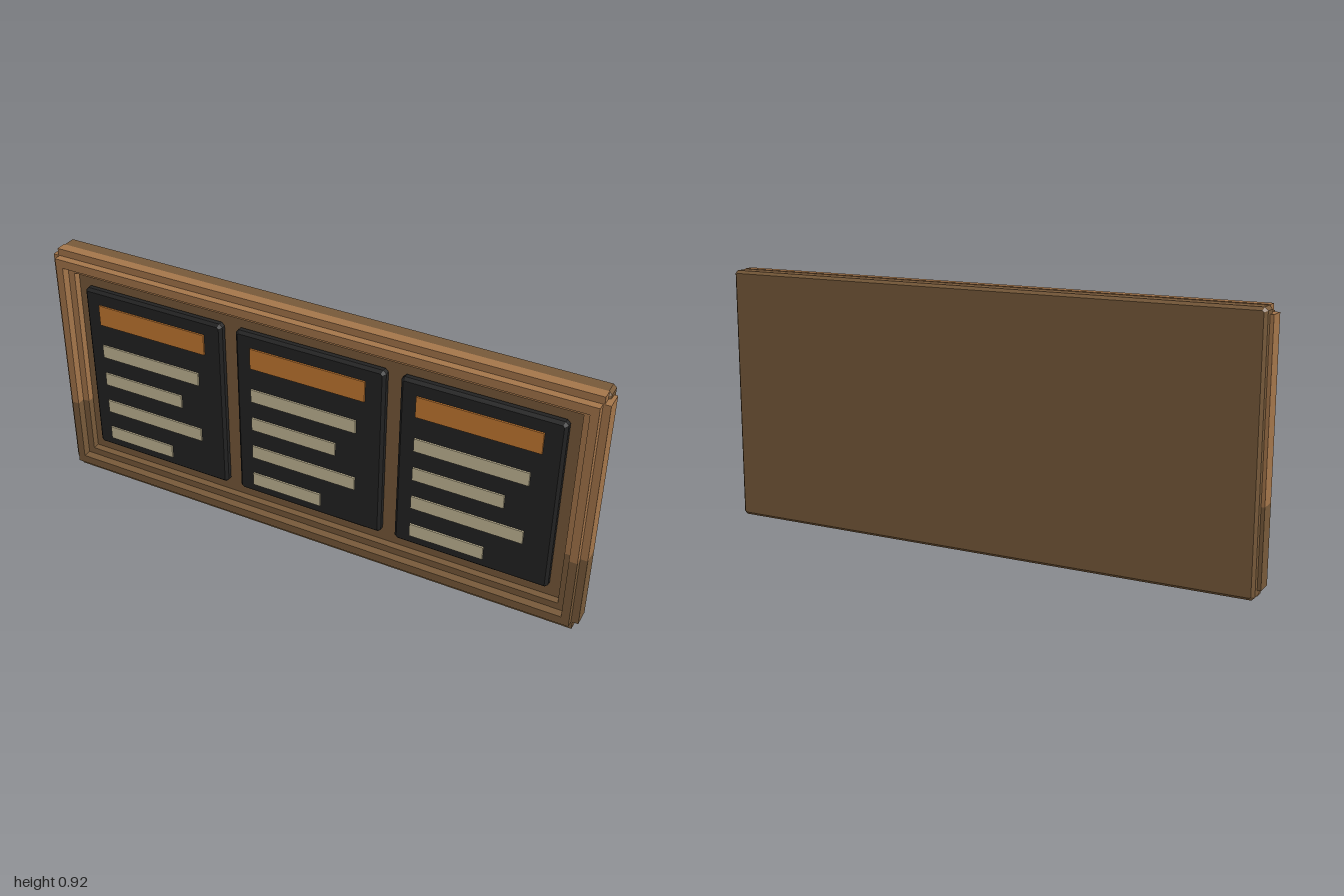
import * as THREE from 'three';

const mat = (name, color) => {
  const m = new THREE.MeshStandardMaterial({ color });
  m.name = name;
  return m;
};

export function createModel() {
  const model = new THREE.Group();
  model.name = 'menuBoard';
  const lightWood = mat('lightWood', 0xa5764b);
  const darkWood = mat('darkWood', 0x785a3a);
  const slate = mat('slate', 0x222222);
  const orange = mat('orange', 0xc67a32);
  const cream = mat('cream', 0xc6ba98);

  // Box given by its limits on each axis
  const box = (name, material, x0, x1, y0, y1, z0, z1, parent = model) => {
    const mesh = new THREE.Mesh(new THREE.BoxGeometry(x1 - x0, y1 - y0, z1 - z0), material);
    mesh.name = name;
    mesh.position.set((x0 + x1) / 2, (y0 + y1) / 2, (z0 + z1) / 2);
    parent.add(mesh);
  };

  // Slab with chamfered front and back edges and clipped corners
  const slab = (name, material, x0, x1, y0, y1, z0, z1, b, parent = model) => {
    const w = (x1 - x0) / 2 - b, h = (y1 - y0) / 2 - b;
    const c = b * 0.5;
    const shape = new THREE.Shape([
      [-w + c, -h], [w - c, -h], [w, -h + c], [w, h - c],
      [w - c, h], [-w + c, h], [-w, h - c], [-w, -h + c],
    ].map(([x, y]) => new THREE.Vector2(x, y)));
    const geo = new THREE.ExtrudeGeometry(shape, {
      depth: z1 - z0 - 2 * b, bevelEnabled: true, bevelSize: b, bevelThickness: b, bevelSegments: 1,
    });
    const mesh = new THREE.Mesh(geo, material);
    mesh.name = name;
    mesh.position.set((x0 + x1) / 2, (y0 + y1) / 2, z0 + b);
    parent.add(mesh);
  };

  // Backing board
  slab('backingBoard', darkWood, -0.988, 0.988, 0.002, 0.919, -0.06, 0.004, 0.01);

  // Frame steps: [name, outer x, inner x, side bottom, side top, rail edges, rail half length, z range]
  const split = 0.3;
  const steps = [
    { name: 'outerTrim', xo: 1, xi: 0.97, y0: 0.03, y1: 0.895, inset: 0, thick: 0.03, len: 0.98, zs: -0.03, zr: -0.003, z1: 0.033 },
    { name: 'raisedTrim', xo: 0.975, xi: 0.947, y0: 0.03, y1: 0.895, inset: 0.03, thick: 0.031, len: 0.947, zs: 0, zr: 0, z1: 0.06 },
    { name: 'innerTrim', xo: 0.947, xi: 0.922, y0: 0.061, y1: 0.864, inset: 0.061, thick: 0.026, len: 0.922, zs: 0, zr: 0, z1: 0.03 },
  ];
  for (const s of steps) {
    const top = s.inset ? 0.925 - s.inset : 0.921;
    box(s.name + 'Top', lightWood, -s.len, s.len, top - s.thick, top, s.zr, s.z1);
    box(s.name + 'Bottom', darkWood, -s.len, s.len, s.inset, s.inset + s.thick, s.zr, s.z1);
    for (const side of [-1, 1]) {
      const a = Math.min(side * s.xi, side * s.xo), b = Math.max(side * s.xi, side * s.xo);
      const label = side > 0 ? 'Left' : 'Right';
      box(s.name + label + 'Upper', lightWood, a, b, split, s.y1, s.zs, s.z1);
      box(s.name + label + 'Lower', darkWood, a, b, s.y0, split, s.zs, s.z1);
    }
  }

  // Three slate panels, each with a heading bar and four lines
  const lines = [[0.553, 0.395], [0.436, 0.32], [0.318, 0.395], [0.2, 0.265]];
  [-0.605, 0, 0.605].forEach((cx, i) => {
    const panel = new THREE.Group();
    panel.name = 'menuPanel' + (i + 1);
    slab('slatePanel', slate, cx - 0.276, cx + 0.276, 0.135, 0.793, 0, 0.036, 0.01, panel);
    const left = cx - 0.217;
    box('headingBar', orange, left, left + 0.425, 0.662, 0.74, 0.034, 0.042, panel);
    for (const [y, w] of lines) box('listLine', cream, left, left + w, y - 0.025, y + 0.025, 0.034, 0.042, panel);
    model.add(panel);
  });
  return model;
}
